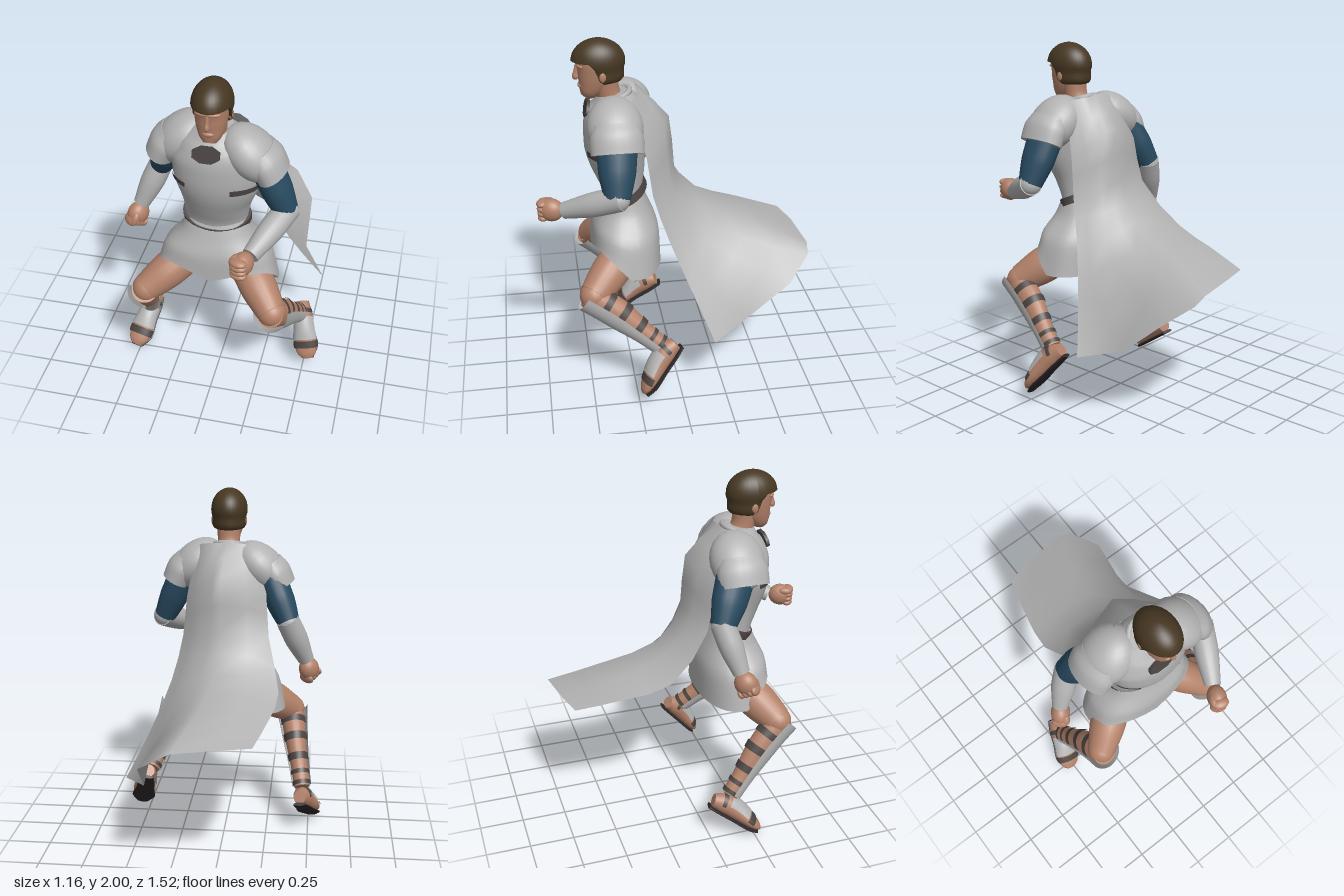
import * as THREE from 'three';

const material = (name, color, side = THREE.FrontSide) => {
  const m = new THREE.MeshStandardMaterial({ color, side });
  m.name = name;
  return m;
};
const grey = material('grey cloth and armour', 0xb2b2b2, THREE.DoubleSide);
const skin = material('skin', 0xb3826a);
const hair = material('brown hair', 0x463722);
const blue = material('blue sleeve', 0x284a60);
const strap = material('dark leather', 0x4a4342);
const soleMat = material('black sole', 0x2e282a);

const X = new THREE.Vector3(1, 0, 0);

// Smooth skin over elliptical rings. Each point is [x, y, z, halfWidth, halfDepth].
// t0..t1 picks a stretch, arc picks part of the way round, grow thickens it,
// flare widens its start, square below 1 makes the rings boxier.
function loft(name, pts, mat, { t0 = 0, t1 = 1, grow = 0, flare = 0, square = 1, arc = null, steps = 14, sides = 20 } = {}) {
  const path = new THREE.CatmullRomCurve3(pts.map(p => new THREE.Vector3(p[0], p[1], p[2])));
  const size = new THREE.CatmullRomCurve3(pts.map(p => new THREE.Vector3(p[3], p[4] ?? p[3], 0)));
  const [a0, a1] = arc ?? [0, Math.PI * 2];
  const row = arc ? sides + 1 : sides;
  const box = v => Math.sign(v) * Math.abs(v) ** square;
  const pos = [], idx = [];
  for (let i = 0; i <= steps; i++) {
    const t = t0 + (t1 - t0) * i / steps;
    const c = path.getPoint(t), s = size.getPoint(t), d = path.getTangent(t);
    const u = X.clone().addScaledVector(d, -X.dot(d)).normalize();
    const v = d.clone().cross(u);
    const extra = grow + flare * (1 - i / steps) ** 4;
    for (let j = 0; j < row; j++) {
      const a = a0 + (a1 - a0) * j / sides;
      const p = c.clone().addScaledVector(u, box(Math.cos(a)) * (s.x + extra)).addScaledVector(v, box(Math.sin(a)) * (s.y + extra));
      pos.push(p.x, p.y, p.z);
    }
  }
  for (let i = 0; i < steps; i++) for (let j = 0; j < sides; j++) {
    const k = (j + 1) % row, a = i * row + j, b = i * row + k;
    idx.push(a, b, b + row, a, b + row, a + row);
  }
  // Flat end caps on closed lofts
  if (!arc) for (const end of [0, steps]) {
    const base = pos.length / 3;
    const c = path.getPoint(end ? t1 : t0);
    for (let j = 0; j < row; j++) pos.push(...pos.slice((end * row + j) * 3, (end * row + j) * 3 + 3));
    pos.push(c.x, c.y, c.z);
    for (let j = 0; j < row; j++) {
      const k = (j + 1) % row;
      idx.push(base + row, base + (end ? j : k), base + (end ? k : j));
    }
  }
  return finish(name, pos, idx, mat);
}

function finish(name, pos, idx, mat) {
  const g = new THREE.BufferGeometry();
  g.setAttribute('position', new THREE.Float32BufferAttribute(pos, 3));
  g.setIndex(idx);
  g.computeVertexNormals();
  return named(name, new THREE.Mesh(g, mat));
}

function named(name, object) {
  object.name = name;
  return object;
}

function ellipsoid(name, mat, [x, y, z], [rx, ry, rz], tilt = 0) {
  const m = named(name, new THREE.Mesh(new THREE.SphereGeometry(1, 24, 16), mat));
  m.position.set(x, y, z);
  m.scale.set(rx, ry, rz);
  m.rotation.z = tilt;
  return m;
}

function makeHead() {
  const g = named('head', new THREE.Group());
  g.add(loft('neck', [[0, 1.6, 0.29, 0.075], [0.003, 1.7, 0.335, 0.065], [0.005, 1.79, 0.35, 0.07]], skin));
  g.add(loft('face', [[0.005, 1.685, 0.455, 0.03, 0.03], [0.005, 1.71, 0.44, 0.055, 0.055], [0.005, 1.76, 0.415, 0.075, 0.083],
    [0.005, 1.82, 0.398, 0.086, 0.1], [0.005, 1.88, 0.39, 0.09, 0.115], [0.005, 1.94, 0.385, 0.08, 0.1]], skin));
  g.add(ellipsoid('brow', skin, [0.005, 1.865, 0.475], [0.066, 0.014, 0.028]));
  g.add(loft('nose', [[0.005, 1.86, 0.495, 0.01, 0.012], [0.005, 1.82, 0.5, 0.012, 0.016], [0.005, 1.797, 0.503, 0.016, 0.02], [0.005, 1.785, 0.496, 0.012, 0.012]], skin, { sides: 10 }));
  g.add(ellipsoid('mouth', skin, [0.005, 1.75, 0.48], [0.03, 0.014, 0.016]));
  for (const s of [-1, 1]) g.add(ellipsoid('ear', skin, [0.005 + s * 0.09, 1.815, 0.37], [0.014, 0.032, 0.022]));
  // Hair: a full crown cut high over the forehead and tapering to the nape
  const geo = new THREE.SphereGeometry(1, 32, 24);
  const p = geo.attributes.position;
  for (let i = 0; i < p.count; i++) {
    const nx = p.getX(i), ny = p.getY(i), nz = p.getZ(i);
    const len = Math.hypot(nx, nz);
    const k = ny < 0 ? Math.min(1.1, 0.95 / Math.max(0.3, len)) : 1 + 0.12 * ny * len;
    const z = nz * k * 0.143;
    const cut = THREE.MathUtils.lerp(-0.09, 0.028, THREE.MathUtils.smoothstep(z, -0.02, 0.05));
    p.setXYZ(i, nx * k * 0.105, Math.max(ny * 0.14, cut), z);
  }
  geo.computeVertexNormals();
  const cap = named('hair', new THREE.Mesh(geo, hair));
  cap.position.set(0.005, 1.86, 0.383);
  g.add(cap);
  return g;
}

// Flared skirt whose front corners ride up over the thighs
function makeSkirt() {
  const top = 1.13, hem = 0.715, cz = 0.263;
  const skirt = loft('skirt', [[0, top, cz, 0.165, 0.1], [0, 1.03, cz, 0.2, 0.142], [0, 0.9, cz, 0.3, 0.188], [0, hem, cz, 0.345, 0.197]],
    grey, { sides: 36, square: 0.85 });
  const p = skirt.geometry.attributes.position;
  for (let i = 0; i < p.count; i++) {
    const down = (top - p.getY(i)) / (top - hem);
    const front = Math.max(0, (p.getZ(i) - cz) / 0.197), side = Math.abs(p.getX(i)) / 0.345;
    p.setY(i, p.getY(i) + down * down * front * (0.07 + 0.15 * side));
  }
  skirt.geometry.computeVertexNormals();
  return skirt;
}

function makeTorso() {
  const g = named('torso', new THREE.Group());
  const body = [[0, 1.0, 0.265, 0.17, 0.105], [-0.005, 1.12, 0.268, 0.172, 0.108], [0, 1.25, 0.285, 0.19, 0.14], [0.01, 1.4, 0.31, 0.235, 0.165],
    [0.01, 1.52, 0.305, 0.245, 0.17], [0, 1.63, 0.3, 0.19, 0.14], [0, 1.7, 0.31, 0.09, 0.085]];
  g.add(loft('tunic', body, grey, { steps: 24, sides: 28 }));
  for (const arc of [[-1.15, -0.3], [-2.85, -2.2]])
    g.add(loft('chestStrap', body, strap, { t0: 0.493, t1: 0.523, grow: 0.006, arc, steps: 2 }));
  g.add(loft('belt', [[-0.005, 1.098, 0.252, 0.19, 0.13], [-0.005, 1.138, 0.27, 0.188, 0.13]], strap, { steps: 1, sides: 28 }));
  g.add(makeSkirt());
  const plate = new THREE.CylinderGeometry(0.078, 0.078, 0.018, 8);
  plate.rotateY(Math.PI / 8);
  const clasp = named('throatPlate', new THREE.Mesh(plate, strap));
  clasp.rotation.x = Math.PI / 2 - 0.25;
  clasp.scale.z = 0.62;
  clasp.position.set(-0.015, 1.608, 0.452);
  g.add(clasp);
  const collar = named('collar', new THREE.Mesh(new THREE.TorusGeometry(0.085, 0.016, 8, 24), grey));
  collar.rotation.x = Math.PI / 2 + 0.35;
  collar.position.set(0, 1.68, 0.3);
  g.add(collar);
  return g;
}

function makeShoulder(s, z) {
  const g = named('shoulderArmour', new THREE.Group());
  g.add(ellipsoid('shoulderDome', grey, [s * 0.19, 1.57, z], [0.178, 0.122, 0.15], -s * 0.75));
  g.add(loft('shoulderBand', [[s * 0.235, 1.6, z, 0.075, 0.12], [s * 0.275, 1.535, z, 0.092, 0.142], [s * 0.308, 1.468, z, 0.087, 0.14]], grey));
  return g;
}

function makeArm(shoulder, elbow, wrist, fist) {
  const g = named('arm', new THREE.Group());
  const mid = (a, b, k) => a.map((v, i) => v + (b[i] - v) * k);
  g.add(loft('sleeve', [[...shoulder, 0.085, 0.11], [...mid(shoulder, elbow, 0.5), 0.083, 0.1], [...elbow, 0.064, 0.07]], blue));
  g.add(ellipsoid('elbow', grey, elbow, [0.066, 0.066, 0.066]));
  g.add(loft('bracer', [[...mid(elbow, wrist, -0.08), 0.066], [...mid(elbow, wrist, 0.35), 0.068], [...wrist, 0.046]], grey));
  // Clenched fist
  const hand = named('hand', new THREE.Group());
  hand.position.set(...fist);
  hand.add(ellipsoid('palm', skin, [0, 0, -0.012], [0.054, 0.064, 0.07]));
  for (let i = 0; i < 4; i++) hand.add(ellipsoid('finger', skin, [0, 0.04 - i * 0.027, 0.03], [0.048, 0.021, 0.034]));
  hand.add(ellipsoid('thumb', skin, [-Math.sign(fist[0]) * 0.03, 0.036, 0.012], [0.024, 0.022, 0.042]));
  hand.lookAt(...fist.map((v, i) => 2 * v - wrist[i]));
  g.add(hand);
  return g;
}

function makeLeg(hip, knee, ankle, heel, toe) {
  const g = named('leg', new THREE.Group());
  const mix = (a, b, k) => a.map((v, i) => v + (b[i] - v) * k);
  g.add(loft('thigh', [[...hip, 0.1, 0.1], [...mix(hip, knee, 0.5), 0.104, 0.108], [...knee, 0.082, 0.085]], skin));
  g.add(ellipsoid('knee', skin, knee, [0.08, 0.08, 0.08]));
  const shin = [[knee[0], knee[1] + 0.01, knee[2] + 0.03, 0.074, 0.076], [...mix(knee, ankle, 0.33), 0.066, 0.08], [...mix(knee, ankle, 0.75), 0.05, 0.056], [...ankle, 0.046, 0.05]];
  g.add(loft('calf', shin, skin));
  g.add(loft('greave', shin, grey, { t1: 0.97, grow: 0.011, flare: 0.014, arc: [-0.15, Math.PI + 0.15] }));
  for (const t of [0.17, 0.35, 0.54, 0.73, 0.91])
    g.add(loft('calfStrap', shin, strap, { t0: t, t1: t + 0.07, grow: 0.006, arc: [Math.PI - 0.15, Math.PI * 2 + 0.15], steps: 2 }));
  // Foot lies along the sole, lifted by the sole's normal
  const d = new THREE.Vector3(...toe).sub(new THREE.Vector3(...heel)).normalize();
  const n = d.clone().cross(X).normalize();
  const at = (k, lift) => mix(heel, toe, k).map((v, i) => v + n.getComponent(i) * lift);
  const foot = [[...at(-0.02, 0.042), 0.038, 0.038], [...at(0.2, 0.058), 0.052, 0.058], [...at(0.45, 0.055), 0.057, 0.055],
    [...at(0.75, 0.04), 0.068, 0.04], [...at(0.93, 0.03), 0.056, 0.028], [...at(1.02, 0.022), 0.03, 0.014]];
  g.add(loft('foot', foot, skin));
  g.add(loft('instep', foot, grey, { t0: 0.24, t1: 0.53, grow: 0.008, arc: [0.25, Math.PI - 0.25] }));
  g.add(loft('toeStrap', foot, strap, { t0: 0.55, t1: 0.67, grow: 0.006, arc: [0, Math.PI], steps: 3 }));
  g.add(loft('heelStrap', foot, strap, { t0: 0.13, t1: 0.19, grow: 0.006, arc: [0, Math.PI], steps: 2 }));
  g.add(loft('sole', [[...at(-0.03, 0), 0.034, 0.01], [...at(0.2, 0), 0.05, 0.01], [...at(0.45, 0), 0.054, 0.01],
    [...at(0.78, 0), 0.07, 0.01], [...at(1.03, 0), 0.034, 0.01]], soleMat));
  return g;
}

// Wind-blown cape: hanging fold lines from shoulder to hem, right edge to left edge
function makeCape() {
  const lines = [
    [[-0.18, 1.68, 0.2], [-0.23, 1.45, 0.1], [-0.25, 1.2, 0.05], [-0.32, 0.95, -0.18], [-0.28, 0.88, -0.43], [-0.21, 0.82, -0.69]],
    [[-0.1, 1.71, 0.18], [-0.12, 1.5, 0.04], [-0.13, 1.25, 0], [-0.14, 1.03, -0.17], [-0.11, 0.92, -0.45], [-0.04, 0.82, -0.73]],
    [[0, 1.72, 0.19], [0.02, 1.55, 0.01], [0.02, 1.25, -0.02], [0.04, 1.04, -0.15], [0.1, 0.92, -0.45], [0.21, 0.8, -0.76]],
    [[0.05, 1.71, 0.19], [0.07, 1.53, 0.04], [0.08, 1.23, 0.01], [0.12, 1.0, -0.11], [0.19, 0.85, -0.39], [0.28, 0.76, -0.75]],
    [[0.1, 1.71, 0.19], [0.12, 1.5, 0.06], [0.14, 1.22, 0.02], [0.2, 0.98, -0.08], [0.29, 0.78, -0.32], [0.4, 0.65, -0.62]],
    [[0.15, 1.7, 0.22], [0.18, 1.45, 0.1], [0.2, 1.2, 0.08], [0.27, 0.94, 0], [0.38, 0.66, -0.17], [0.41, 0.45, -0.38]],
    [[0.18, 1.68, 0.25], [0.23, 1.4, 0.16], [0.25, 1.18, 0.13], [0.31, 0.93, 0.05], [0.42, 0.66, -0.06], [0.55, 0.4, -0.17]],
  ].map(l => new THREE.CatmullRomCurve3(l.map(p => new THREE.Vector3(...p))));
  const rows = 10, n = lines.length, pos = [], idx = [];
  for (let i = 0; i <= rows; i++) for (const line of lines) pos.push(...line.getPoint(i / rows).toArray());
  for (let i = 0; i < rows; i++) for (let j = 0; j < n - 1; j++) {
    const a = i * n + j, b = a + n;
    idx.push(a, a + 1, b + 1, a, b + 1, b);
  }
  return finish('cape', pos, idx, grey);
}

export function createModel() {
  const model = named('capedWarrior', new THREE.Group());
  model.add(makeHead(), makeTorso(), makeCape());
  model.add(makeShoulder(1, 0.32), makeShoulder(-1, 0.235));
  model.add(makeArm([0.27, 1.5, 0.32], [0.385, 1.245, 0.335], [0.25, 1.135, 0.61], [0.22, 1.13, 0.69]));
  model.add(makeArm([-0.26, 1.5, 0.2], [-0.36, 1.28, 0.1], [-0.465, 1.04, 0.17], [-0.485, 0.97, 0.195]));
  model.add(makeLeg([0.14, 0.83, 0.26], [0.345, 0.645, 0.475], [0.45, 0.345, 0.115], [0.46, 0.325, 0.01], [0.53, 0.085, 0.21]));
  model.add(makeLeg([-0.14, 0.83, 0.25], [-0.38, 0.645, 0.43], [-0.46, 0.255, 0.125], [-0.45, 0.19, 0.01], [-0.52, 0.015, 0.265]));
  return model;
}
